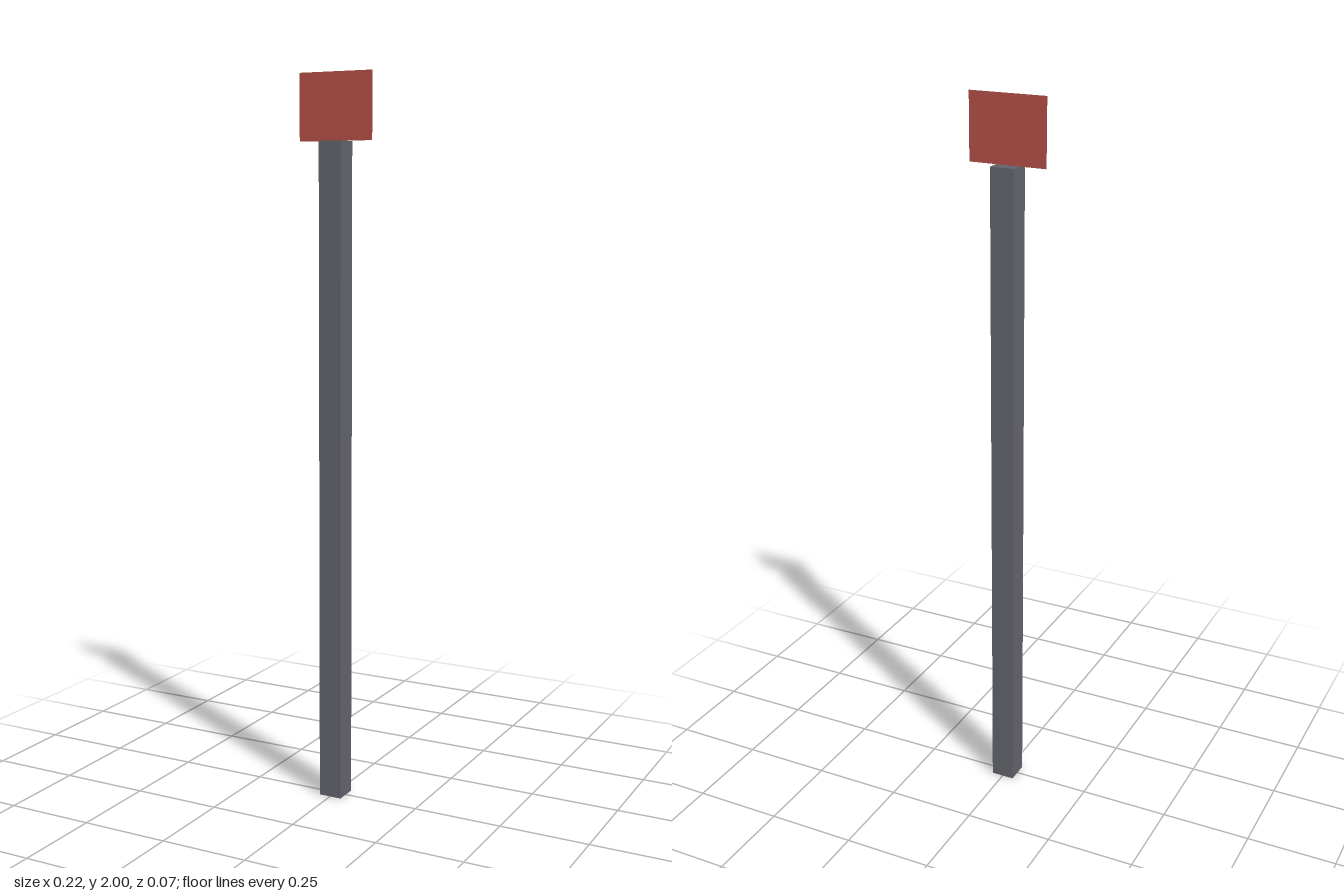
import * as THREE from 'three';

const POST_WIDTH = 0.066;
const POST_HEIGHT = 1.82;
const SIGN_WIDTH = 0.217;
const SIGN_HEIGHT = 0.18;

export function createModel() {
  const model = new THREE.Group();
  model.name = 'signpost';

  // Square post standing on the ground
  const post = new THREE.Mesh(
    new THREE.BoxGeometry(POST_WIDTH, POST_HEIGHT, POST_WIDTH),
    new THREE.MeshStandardMaterial({ color: 0x62626c })
  );
  post.name = 'post';
  post.position.y = POST_HEIGHT / 2;
  model.add(post);

  // Paper-thin sign panel resting on the top of the post
  const sign = new THREE.Mesh(
    new THREE.PlaneGeometry(SIGN_WIDTH, SIGN_HEIGHT),
    new THREE.MeshStandardMaterial({ color: 0xb34d45, side: THREE.DoubleSide })
  );
  sign.name = 'signPanel';
  sign.position.y = POST_HEIGHT + SIGN_HEIGHT / 2;
  model.add(sign);

  return model;
}
